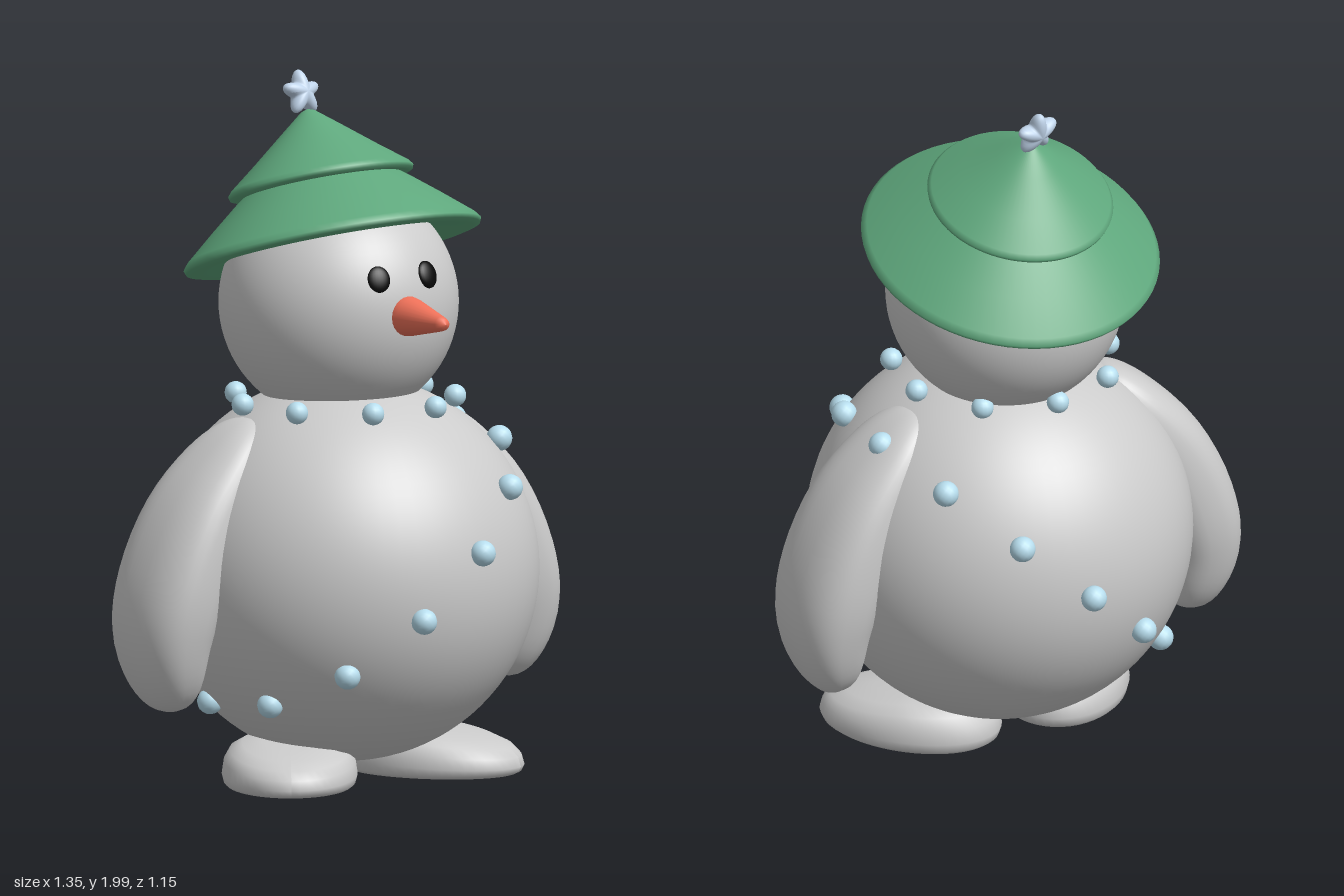
import * as THREE from 'three';

const mat = (color, roughness = 0.8) => new THREE.MeshStandardMaterial({ color, roughness });
const grey = mat(0xcccccc), green = mat(0x5fa87d), ice = mat(0xb8deee), starBlue = mat(0xc0d4ea);
const orange = mat(0xf0725a), black = mat(0x080808);

function add(parent, name, geometry, material, x = 0, y = 0, z = 0) {
  const mesh = new THREE.Mesh(geometry, material);
  mesh.name = name;
  mesh.position.set(x, y, z);
  parent.add(mesh);
  return mesh;
}

const lathe = (pts, segments = 48) =>
  new THREE.LatheGeometry(pts.map(([r, y]) => new THREE.Vector2(r, y)), segments);

// Moves every vertex by a rule, then refreshes the normals
function warp(geometry, rule) {
  const p = geometry.attributes.position, v = new THREE.Vector3();
  for (let i = 0; i < p.count; i++) {
    rule(v.fromBufferAttribute(p, i));
    p.setXYZ(i, v.x, v.y, v.z);
  }
  geometry.computeVertexNormals();
  return geometry;
}

// Flipper-like arm: a sphere stretched along a curve, with a boxy oval section
function armGeometry() {
  const curve = new THREE.CatmullRomCurve3([
    [0.28, 1.04], [0.37, 0.93], [0.48, 0.78], [0.56, 0.6], [0.595, 0.44], [0.565, 0.235],
  ].map(([x, y]) => new THREE.Vector3(x, y, 0)));
  const square = (c) => Math.sign(c) * Math.pow(Math.abs(c), 0.8);
  return warp(new THREE.SphereGeometry(1, 40, 32), (v) => {
    const t = (1 - v.y) / 2;
    const ring = Math.hypot(v.x, v.z) || 1;
    const r = Math.pow(Math.max(0, 1 - v.y * v.y), 0.4);
    const c = curve.getPoint(t), d = curve.getTangent(t);
    const a = square(v.x / ring) * r * (0.1 + 0.045 * t);
    const b = square(v.z / ring) * r * (0.165 + 0.035 * t);
    v.set(c.x - d.y * a, c.y + d.x * a, b);
  });
}

// Oval foot, flat below, with the top sloping down to the toe
function footGeometry() {
  const shape = lathe([[0, 0], [0.92, 0], [0.97, 0.01], [1, 0.035], [0.97, 0.075],
    [0.88, 0.107], [0.7, 0.128], [0.4, 0.136], [0, 0.137]]);
  return warp(shape, (v) => v.set(v.x * 0.193, v.y * (1 - 0.28 * Math.max(0, v.z + 0.2)), v.z * 0.275));
}

// Puffy five-pointed star
function starGeometry() {
  return warp(new THREE.SphereGeometry(1, 60, 20).rotateX(Math.PI / 2), (v) => {
    const k = 0.053 * (1 + 0.28 * Math.cos(5 * Math.atan2(v.x, v.y)));
    v.set(v.x * k, v.y * k, v.z * 0.03);
  });
}

function beadRing(parent, name, count, radius, start, size) {
  const ring = new THREE.Group();
  ring.name = name;
  const geometry = new THREE.SphereGeometry(size, 16, 12);
  for (let i = 0; i < count; i++) {
    const a = start + (i * Math.PI * 2) / count;
    add(ring, 'bead', geometry, ice, radius * Math.cos(a), 0, radius * Math.sin(a));
  }
  parent.add(ring);
  return ring;
}

export function createModel() {
  const model = new THREE.Group();
  model.name = 'snowFigure';
  const figure = new THREE.Group();
  figure.name = 'figure';
  figure.position.x = 0.005;
  figure.rotation.y = THREE.MathUtils.degToRad(24);
  model.add(figure);

  // Body and head
  add(figure, 'body', new THREE.SphereGeometry(0.55, 64, 48), grey, 0.014, 0.6, 0.005);
  add(figure, 'head', new THREE.SphereGeometry(0.341, 64, 40), grey, 0.012, 1.36, -0.027);

  // Arms and feet
  const armShape = armGeometry();
  const footShape = footGeometry();
  for (const side of [1, -1]) {
    const arm = add(figure, side > 0 ? 'leftArm' : 'rightArm', armShape, grey, 0.005, 0, -0.03);
    arm.rotation.y = side > 0 ? 0 : Math.PI;
    const foot = add(figure, side > 0 ? 'leftFoot' : 'rightFoot', footShape, grey,
      0.023 + side * 0.243, 0.005, 0.067);
    foot.rotation.y = side * 0.58;
  }

  // Eyes and nose
  for (const side of [1, -1]) {
    const eye = add(figure, side > 0 ? 'leftEye' : 'rightEye',
      new THREE.SphereGeometry(1, 24, 16), black, 0.022 + side * 0.084, 1.468, 0.28);
    eye.scale.set(0.036, 0.04, 0.016);
    eye.rotation.set(-0.33, side * 0.27, 0, 'YXZ');
  }
  const nose = add(figure, 'nose', lathe([[0, 0], [0.055, 0], [0.058, 0.01], [0.054, 0.04],
    [0.022, 0.185], [0.016, 0.203], [0, 0.21]], 24), orange, 0.022, 1.36, 0.29);
  nose.rotation.x = Math.PI / 2;

  // Bead necklace, and a bead garland slung across the body
  beadRing(figure, 'necklace', 9, 0.317, THREE.MathUtils.degToRad(29), 0.032)
    .position.set(-0.02, 1.097, 0.046);
  const garland = beadRing(figure, 'garland', 13, 0.562, THREE.MathUtils.degToRad(-7), 0.037);
  garland.position.set(0.016, 0.612, 0);
  garland.rotation.z = THREE.MathUtils.degToRad(41.5);

  // Tilted two-tier tree hat with a star on its tip
  const hat = new THREE.Group();
  hat.name = 'treeHat';
  hat.position.set(0.015, 1.517, -0.063);
  hat.rotation.x = THREE.MathUtils.degToRad(-18.6);
  figure.add(hat);
  add(hat, 'lowerTier', lathe([[0, 0.04], [0.25, 0.015], [0.34, -0.008], [0.4, -0.018],
    [0.424, -0.012], [0.429, 0], [0.415, 0.018], [0.33, 0.09], [0.25, 0.155],
    [0.15, 0.23], [0, 0.3]], 64), green);
  add(hat, 'upperTier', lathe([[0, 0.2], [0.15, 0.182], [0.22, 0.17], [0.25, 0.168],
    [0.264, 0.174], [0.267, 0.184], [0.257, 0.197], [0.18, 0.257], [0.09, 0.33],
    [0.02, 0.386], [0, 0.393]], 64), green);
  const star = add(hat, 'star', starGeometry(), starBlue, -0.002, 0.442, -0.012);
  star.rotation.y = 0.2;

  return model;
}
